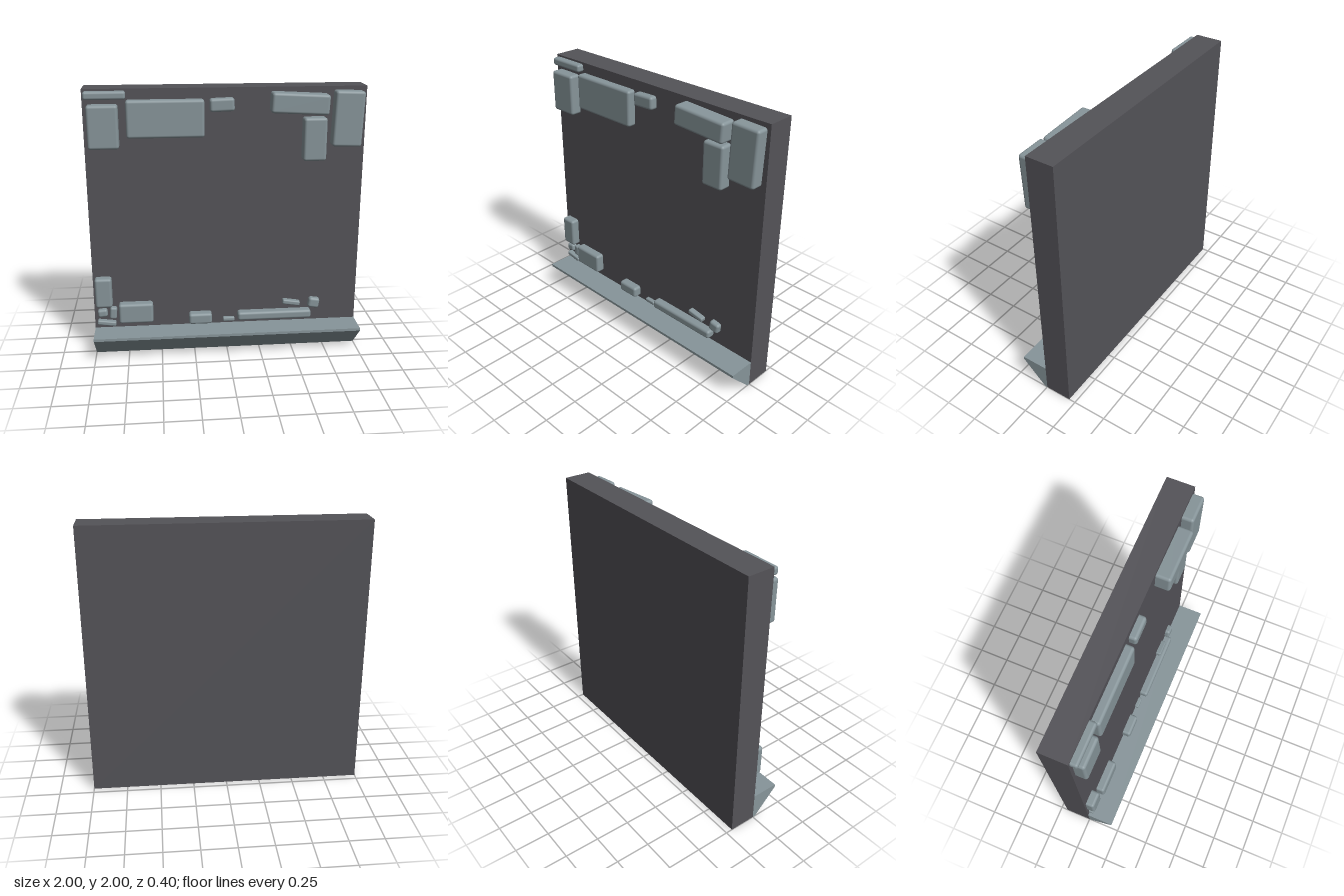
import * as THREE from 'three';
import { RoundedBoxGeometry } from 'three/addons/geometries/RoundedBoxGeometry.js';

export function createModel() {
  const model = new THREE.Group();
  model.name = 'stoneWall';
  const mortar = new THREE.MeshStandardMaterial({ name: 'darkMortar', color: 0x545358 });
  const stone = new THREE.MeshStandardMaterial({ name: 'greyStone', color: 0x87959a });

  const add = (name, geometry, material) => {
    const mesh = new THREE.Mesh(geometry, material);
    mesh.name = name;
    model.add(mesh);
    return mesh;
  };

  // Wall slab
  add('wall', new THREE.BoxGeometry(2, 2, 0.2), mortar).position.set(0, 1, -0.1);

  // Sloped ledge: profile in (z, y), extruded along x
  const profile = new THREE.Shape([
    [0, 0], [0.02, 0], [0.2, 0.18], [0.2, 0.2], [0, 0.2],
  ].map(([z, y]) => new THREE.Vector2(-z, y)));
  const ledge = new THREE.ExtrudeGeometry(profile, { depth: 2, bevelEnabled: false });
  ledge.rotateY(Math.PI / 2);
  ledge.translate(-1, 0, 0);
  add('ledge', ledge, stone);

  // Raised stones: centre x, centre y, width, height, relief, roll in degrees
  const stones = [
    // upper left
    [-0.845, 1.958, 0.29, 0.056, 0.05, 0],
    [-0.863, 1.743, 0.216, 0.306, 0.08, 0],
    [-0.43, 1.792, 0.545, 0.265, 0.06, 0],
    [-0.033, 1.883, 0.174, 0.094, 0.052, 2],
    // upper right
    [0.513, 1.89, 0.41, 0.143, 0.104, -3],
    [0.627, 1.633, 0.167, 0.31, 0.082, 0],
    [0.862, 1.775, 0.212, 0.395, 0.082, -2],
    // lower left
    [-0.922, 0.5, 0.124, 0.23, 0.063, 0],
    [-0.938, 0.328, 0.072, 0.06, 0.04, 5],
    [-0.858, 0.327, 0.052, 0.092, 0.04, -4],
    [-0.91, 0.247, 0.14, 0.035, 0.04, -8],
    [-0.687, 0.327, 0.256, 0.156, 0.063, 0],
    // lower middle and right
    [-0.203, 0.262, 0.174, 0.085, 0.063, 0],
    [0.015, 0.236, 0.088, 0.03, 0.03, 0],
    [0.365, 0.267, 0.565, 0.066, 0.06, 0],
    [0.496, 0.358, 0.135, 0.036, 0.04, -9],
    [0.672, 0.348, 0.085, 0.08, 0.04, -9],
  ];
  const buried = 0.03; // depth sunk into the wall
  stones.forEach(([x, y, w, h, relief, roll], i) => {
    const radius = Math.min(0.02, h * 0.3, w * 0.3);
    const geometry = new RoundedBoxGeometry(w, h, relief + buried, 3, radius);
    const mesh = add(`stone${i + 1}`, geometry, stone);
    mesh.position.set(x, y, (relief - buried) / 2);
    mesh.rotation.z = THREE.MathUtils.degToRad(roll);
  });

  return model;
}
